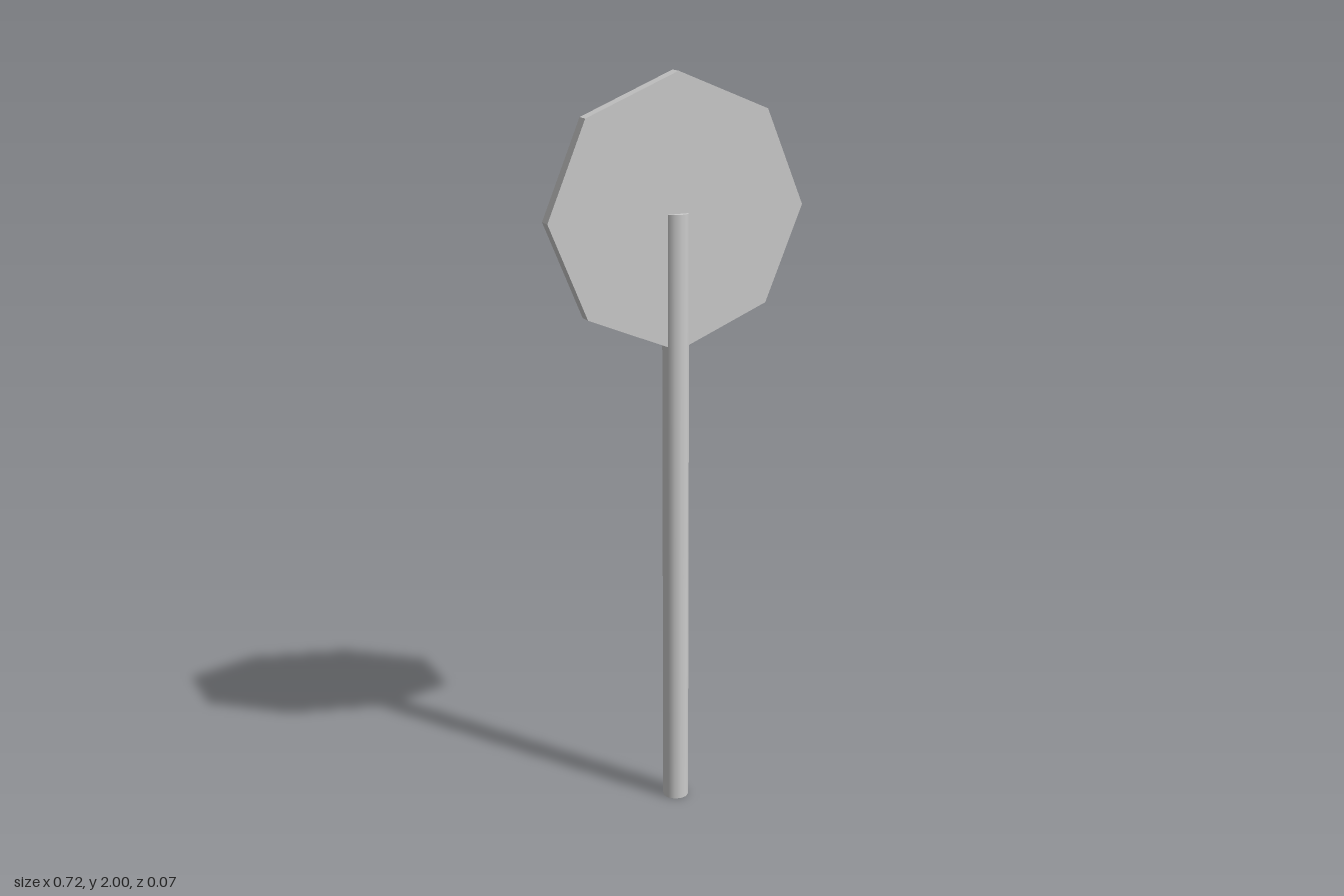
import * as THREE from 'three';

export function createModel() {
  const model = new THREE.Group();
  model.name = 'signpost';
  const grey = new THREE.MeshStandardMaterial({ color: 0xcccccc });
  grey.name = 'light grey';

  const signRadius = 0.358;
  const signCentre = 2 - signRadius;

  // Round pole, ending at the centre of the sign
  const pole = new THREE.Mesh(new THREE.CylinderGeometry(0.035, 0.035, signCentre, 12), grey);
  pole.name = 'pole';
  pole.position.y = signCentre / 2;
  model.add(pole);

  // Octagonal plate standing on a corner, pierced by the pole
  const plate = new THREE.CylinderGeometry(signRadius, signRadius, 0.036, 8)
    .rotateX(Math.PI / 2)
    .toNonIndexed();
  plate.computeVertexNormals();
  const sign = new THREE.Mesh(plate, grey);
  sign.name = 'signPlate';
  sign.position.y = signCentre;
  model.add(sign);

  return model;
}
